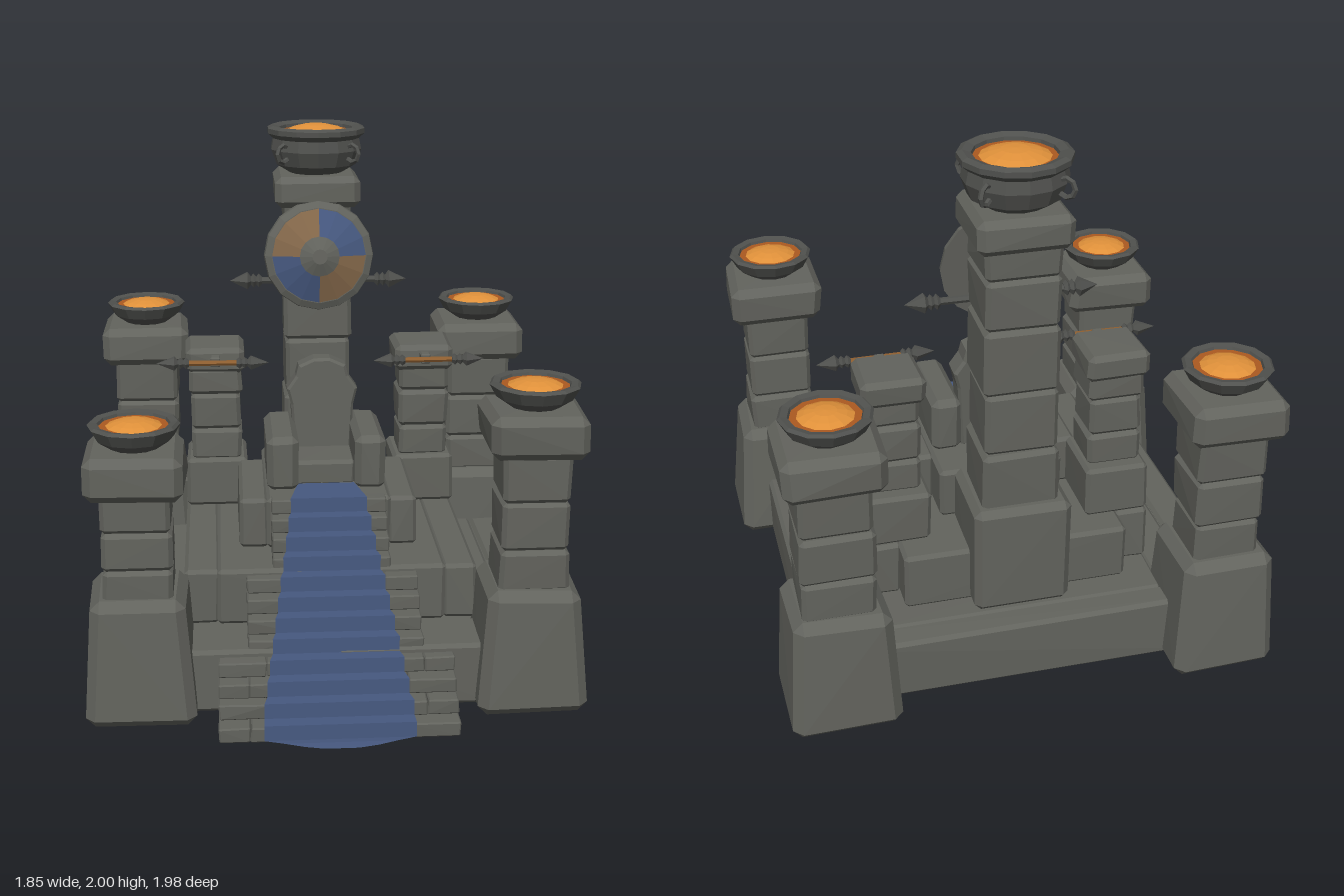
import * as THREE from 'three';
import { ConvexGeometry } from 'three/addons/geometries/ConvexGeometry.js';

const flat = (name, color, side = THREE.FrontSide) => {
  const m = new THREE.MeshStandardMaterial({ color, side, flatShading: true });
  m.name = name;
  return m;
};

export function createModel() {
  const root = new THREE.Group();
  root.name = 'throneShrine';
  const stone = flat('stone', 0x62635d);
  const iron = flat('iron', 0x50514e, THREE.DoubleSide);
  const blue = flat('blueCloth', 0x46587f, THREE.DoubleSide);
  const tan = flat('tanWood', 0x84684a, THREE.DoubleSide);
  const wood = flat('shaftWood', 0x8f5f30);
  const ember = flat('darkEmber', 0xac5a20);
  const glow = flat('brightEmber', 0xe0913a);

  let seed = 7;
  const rand = () => ((seed = (seed * 16807) % 2147483647) / 2147483647) - 0.5;

  const add = (name, geo, mat, parent = root, x = 0, y = 0, z = 0) => {
    const m = new THREE.Mesh(geo, mat);
    m.name = name;
    m.position.set(x, y, z);
    parent.add(m);
    return m;
  };

  // Chamfered, slightly uneven stone; taper narrows the top
  const block = (name, x0, x1, y0, y1, z0, z1, { c = 0.014, taper = 1, wobble = 0.008, parent = root } = {}) => {
    const w = (x1 - x0) / 2, h = (y1 - y0) / 2, d = (z1 - z0) / 2, pts = [];
    for (const sx of [-1, 1]) for (const sy of [-1, 1]) for (const sz of [-1, 1]) {
      const t = sy > 0 ? taper : 1;
      const X = w * t + rand() * wobble, Z = d * t + rand() * wobble;
      const Y = h + (sy > 0 ? rand() * wobble * 0.5 : 0);
      pts.push(new THREE.Vector3(sx * X, sy * (Y - c), sz * (Z - c)),
        new THREE.Vector3(sx * (X - c), sy * Y, sz * (Z - c)),
        new THREE.Vector3(sx * (X - c), sy * (Y - c), sz * Z));
    }
    return add(name, new ConvexGeometry(pts), stone, parent, (x0 + x1) / 2, (y0 + y1) / 2, (z0 + z1) / 2);
  };
  const square = (name, x, z, r, y0, y1, opt) => block(name, x - r, x + r, y0, y1, z - r, z + r, opt);
  const column = (name, x, z, r, ys) => {
    for (let i = 0; i < ys.length - 1; i++) square(name, x, z, r + rand() * 0.012, ys[i], ys[i + 1], { c: 0.016 });
  };
  const lathe = (pts, n) => new THREE.LatheGeometry(pts.map(p => new THREE.Vector2(...p)), n);
  const dome = (r, h, n) => lathe([[r, 0], [r * 0.75, h * 0.5], [r * 0.4, h * 0.88], [0, h]], n);

  // Foundation: core with long edging stones around it
  block('foundationCore', -0.8, 0.78, 0, 0.235, -0.81, 0.66, { wobble: 0 });
  for (const [x0, x1] of [[-0.83, -0.69], [-0.69, -0.54], [0.54, 0.68], [0.68, 0.8]])
    block('foundationEdge', x0, x1, 0.01, 0.25, -0.75, 0.6);
  block('foundationBack', -0.6, 0.6, 0.01, 0.25, -0.84, -0.73);
  for (const s of [-1, 1]) block('foundationFront', s < 0 ? -0.57 : 0.01, s < 0 ? -0.01 : 0.57, 0.01, 0.25, 0.44, 0.68);
  block('foundationRear', -0.55, 0.55, 0.01, 0.25, -0.74, -0.5);

  // Terraces
  block('lowerTerrace', -0.43, 0.43, 0.25, 0.47, -0.64, 0.45);
  for (const s of [-1, 1]) block('lowerTerraceEdge', s < 0 ? -0.55 : 0.42, s < 0 ? -0.42 : 0.55, 0.25, 0.465, -0.53, 0.44);
  block('upperTerrace', -0.24, 0.24, 0.47, 0.67, -0.4, 0.24);
  for (const s of [-1, 1]) block('upperTerraceEdge', s < 0 ? -0.34 : 0.23, s < 0 ? -0.23 : 0.34, 0.47, 0.665, -0.26, 0.23);

  // Staircase of staggered bricks
  const RUN = 0.058, RISE = 0.056, STEPS = 12;
  for (let i = 0; i < STEPS; i++) {
    const [w, back] = i < 4 ? [0.43, 0.66] : i < 8 ? [0.32, 0.43] : [0.22, 0.2];
    const front = 0.9 - RUN * i, n = Math.round(w / 0.075);
    const cuts = [-w];
    for (let k = 1; k < n; k++) cuts.push(-w + (2 * w * (k + (i % 2 ? 0.22 : -0.22))) / n);
    cuts.push(w);
    for (let k = 0; k < n; k++)
      block('stairBrick', cuts[k], cuts[k + 1], RISE * i, RISE * (i + 1), back, front + rand() * 0.008, { c: 0.005, wobble: 0.005 });
  }

  // Carpet running down the stairs, widening to a rounded end
  const width = z => 0.11 + (0.16 * (z - 0.1)) / 0.76;
  const path = [[0.1, 0.682, 0.11]];
  for (let i = STEPS - 1; i >= 0; i--) {
    const z = 0.908 - RUN * i, y = RISE * (i + 1) + 0.01;
    path.push([z, y, width(Math.min(z, 0.86))], [z + 0.003, y - RISE, width(Math.min(z, 0.86))]);
  }
  path.push([0.94, 0.013, 0.2], [0.965, 0.012, 0.13], [0.98, 0.011, 0.06]);
  const pos = [], idx = [];
  path.forEach(([z, y, w], i) => {
    pos.push(-w, y, z, w, y, z);
    const a = 2 * i;
    if (i) idx.push(a - 2, a, a - 1, a - 1, a, a + 1);
  });
  const carpet = new THREE.BufferGeometry();
  carpet.setAttribute('position', new THREE.Float32BufferAttribute(pos, 3));
  carpet.setIndex(idx);
  carpet.computeVertexNormals();
  add('carpet', carpet, blue);

  // Corner towers with fire bowls
  const bowl = lathe([[0, 0], [0.09, 0], [0.14, 0.035], [0.165, 0.08], [0.155, 0.09], [0.13, 0.085], [0.115, 0.05], [0, 0.045]], 12);
  for (const [x, z, drop] of [[-0.72, -0.79, 0], [0.715, -0.79, 0], [-0.71, 0.585, 0.12], [0.715, 0.575, 0]]) {
    const top = 1.13 - drop;
    square('towerBase', x, z, 0.2, 0, 0.475, { c: 0.035, taper: 0.87, wobble: 0.015 });
    const y0 = 0.46, h = top - 0.15 - y0;
    column('towerStone', x, z, 0.128, [y0, y0 + h * 0.3, y0 + h * 0.65, y0 + h]);
    square('towerCap', x, z, 0.178, top - 0.16, top, { c: 0.03, wobble: 0.015 });
    add('fireBowl', bowl, iron, root, x, top, z);
    add('emberRing', new THREE.CylinderGeometry(0.125, 0.11, 0.03, 12), ember, root, x, top + 0.06, z);
    add('emberDome', dome(0.1, 0.022, 12), glow, root, x, top + 0.0755, z);
  }

  // Side pillars and the spears resting before them
  const spear = (name, len, shaftMat, x, y, z, tilt) => {
    const g = new THREE.Group();
    g.name = name;
    const shaft = add('shaft', new THREE.CylinderGeometry(0.011, 0.011, len - 0.12, 6), shaftMat, g);
    shaft.rotation.z = Math.PI / 2;
    const tip = lathe([[0, 0], [0.014, 0], [0.024, 0.012], [0.014, 0.022], [0.024, 0.034], [0.014, 0.044], [0.03, 0.058], [0, 0.13]], 6);
    for (const s of [-1, 1]) {
      const head = add('spearHead', tip, iron, g, s * (len / 2 - 0.13));
      head.rotation.z = -s * Math.PI / 2;
    }
    g.position.set(x, y, z);
    g.rotation.y = tilt;
    root.add(g);
    return g;
  };
  for (const s of [-1, 1]) {
    const x = s * 0.425;
    block('sidePillarBase', x - 0.125, x + 0.125, 0.47, 0.67, -0.53, -0.25);
    column('sidePillarStone', x, -0.375, 0.1, [0.66, 0.79, 0.94, 1.05]);
    square('sidePillarCap', x, -0.38, 0.12, 1.03, 1.135, { c: 0.02 });
    spear('sideSpear', 0.45, wood, s * 0.435, 1.09, -0.21, s * 0.02);
    block('spearBracket', x - 0.02, x + 0.02, 1.07, 1.11, -0.28, -0.215, { c: 0.005, wobble: 0 });
  }

  // Throne
  block('throneSeat', -0.12, 0.12, 0.66, 0.76, -0.2, 0.07);
  for (const s of [-1, 1])
    block('throneArm', s < 0 ? -0.23 : 0.11, s < 0 ? -0.11 : 0.23, 0.66, 0.88, -0.24, 0.14, { c: 0.025 });
  const backShape = new THREE.Shape([[-0.1, 0], [0.1, 0], [0.115, 0.25], [0.13, 0.31], [0.095, 0.36], [0.085, 0.4], [0.03, 0.425],
    [-0.03, 0.425], [-0.085, 0.4], [-0.095, 0.36], [-0.13, 0.31], [-0.115, 0.25]].map(p => new THREE.Vector2(...p)));
  const throneBack = add('throneBack', new THREE.ExtrudeGeometry(backShape,
    { depth: 0.08, bevelSize: 0.01, bevelThickness: 0.012, bevelSegments: 1 }), stone, root, 0, 0.68, -0.21);
  throneBack.rotation.x = -0.05;

  // Great pillar
  const PZ = -0.55;
  square('greatPillarBase', 0, PZ, 0.18, 0.25, 0.68, { c: 0.025 });
  column('greatPillarStone', 0, PZ, 0.138, [0.66, 0.89, 1.13, 1.38, 1.57, 1.7]);
  square('greatPillarCap', 0, PZ, 0.172, 1.68, 1.805, { c: 0.025 });

  // Great fire bowl with four ring handles
  add('greatBowl', lathe([[0, 1.8], [0.1, 1.8], [0.165, 1.84], [0.187, 1.9], [0.178, 1.945], [0.2, 1.965], [0.2, 1.985],
    [0.18, 1.995], [0.15, 1.985], [0.14, 1.94], [0, 1.93]], 14), iron, root, 0, 0, PZ);
  add('greatEmberRing', new THREE.CylinderGeometry(0.148, 0.13, 0.03, 14), ember, root, 0, 1.957, PZ);
  add('greatEmberDome', dome(0.125, 0.027, 14), glow, root, 0, 1.973, PZ);
  for (let i = 0; i < 4; i++) {
    const a = Math.PI / 4 + (i * Math.PI) / 2;
    const ring = add('bowlHandle', new THREE.TorusGeometry(0.034, 0.01, 5, 8), iron, root,
      Math.cos(a) * 0.195, 1.895, PZ + Math.sin(a) * 0.195);
    ring.rotation.y = -a;
  }

  // Round shield, facing forward and tilted up a little
  const shield = new THREE.Group();
  shield.name = 'shield';
  const disc = (name, rt, rb, h, z, mat, open, start = 0, len = Math.PI * 2, n = 16) =>
    add(name, new THREE.CylinderGeometry(rt, rb, h, n, 1, open, start, len).rotateX(Math.PI / 2), mat, shield, 0, 0, z);
  disc('shieldRim', 0.218, 0.222, 0.025, -0.0125, stone, false);
  disc('shieldRimBevel', 0.192, 0.218, 0.014, 0.007, stone, false);
  for (let q = 0; q < 4; q++)
    disc('shieldQuarter', 0.08, 0.194, 0.045, 0.0345, q % 2 ? blue : tan, true, (q * Math.PI) / 2, Math.PI / 2, 4);
  disc('shieldBoss', 0.03, 0.082, 0.022, 0.067, stone, false);
  disc('shieldPeg', 0.04, 0.04, 0.1, -0.06, iron, false);
  shield.position.set(0, 1.495, -0.345);
  shield.rotation.x = -0.12;
  root.add(shield);
  spear('shieldSpear', 0.72, iron, 0, 1.385, -0.395, 0).scale.set(1, 1.25, 1.25);

  return root;
}
